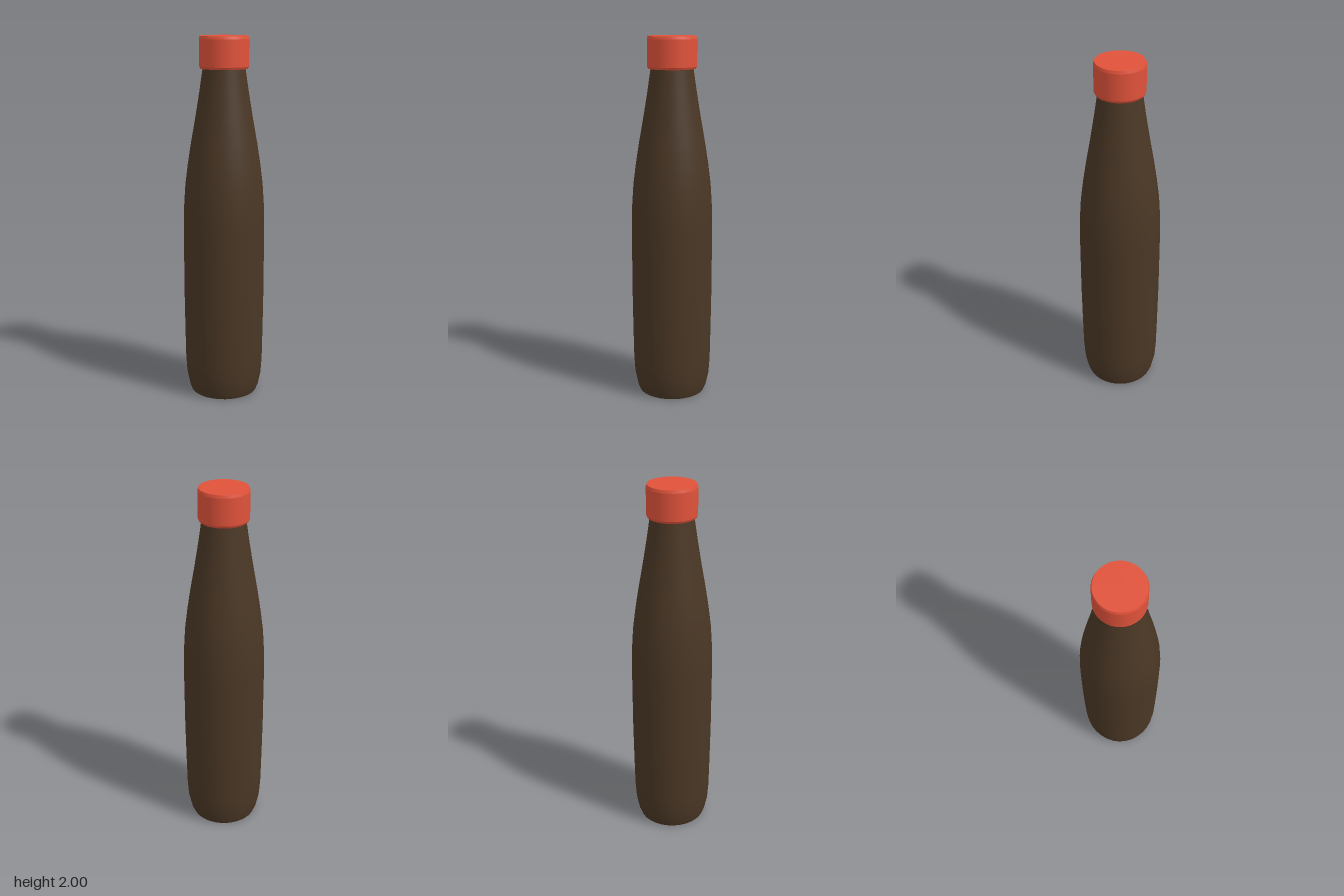
import * as THREE from 'three';

const brown = new THREE.MeshStandardMaterial({ name: 'dark brown', color: 0x4a3725 });
const red = new THREE.MeshStandardMaterial({ name: 'cap red', color: 0xe0523a });

// Turned part; a repeated profile point keeps that edge sharp
function turned(name, profile, sides, material) {
  const points = profile.map(([r, y]) => new THREE.Vector2(r, y));
  const geometry = new THREE.LatheGeometry(points, sides);
  geometry.normalizeNormals();
  const mesh = new THREE.Mesh(geometry, material);
  mesh.name = name;
  return mesh;
}

export function createModel() {
  const model = new THREE.Group();
  model.name = 'bottle';

  // Body: flat base, rounded foot, straight wall, long tapering neck
  model.add(turned('body', [
    [0, 0], [0.185, 0], [0.185, 0], [0.197, 0.03], [0.212, 0.1], [0.218, 0.19],
    [0.221, 0.36], [0.224, 0.6], [0.224, 0.97], [0.221, 1.08], [0.213, 1.2],
    [0.199, 1.31], [0.182, 1.42], [0.157, 1.56], [0.134, 1.7], [0.115, 1.83],
    [0.11, 1.88],
  ], 32, brown));

  // Cap: closed cup with slightly softened rims
  model.add(turned('cap', [
    [0.1, 1.828], [0.128, 1.828], [0.128, 1.828], [0.134, 1.84], [0.134, 1.84],
    [0.134, 1.985], [0.134, 1.985], [0.129, 2], [0.129, 2], [0, 2],
  ], 64, red));

  return model;
}
